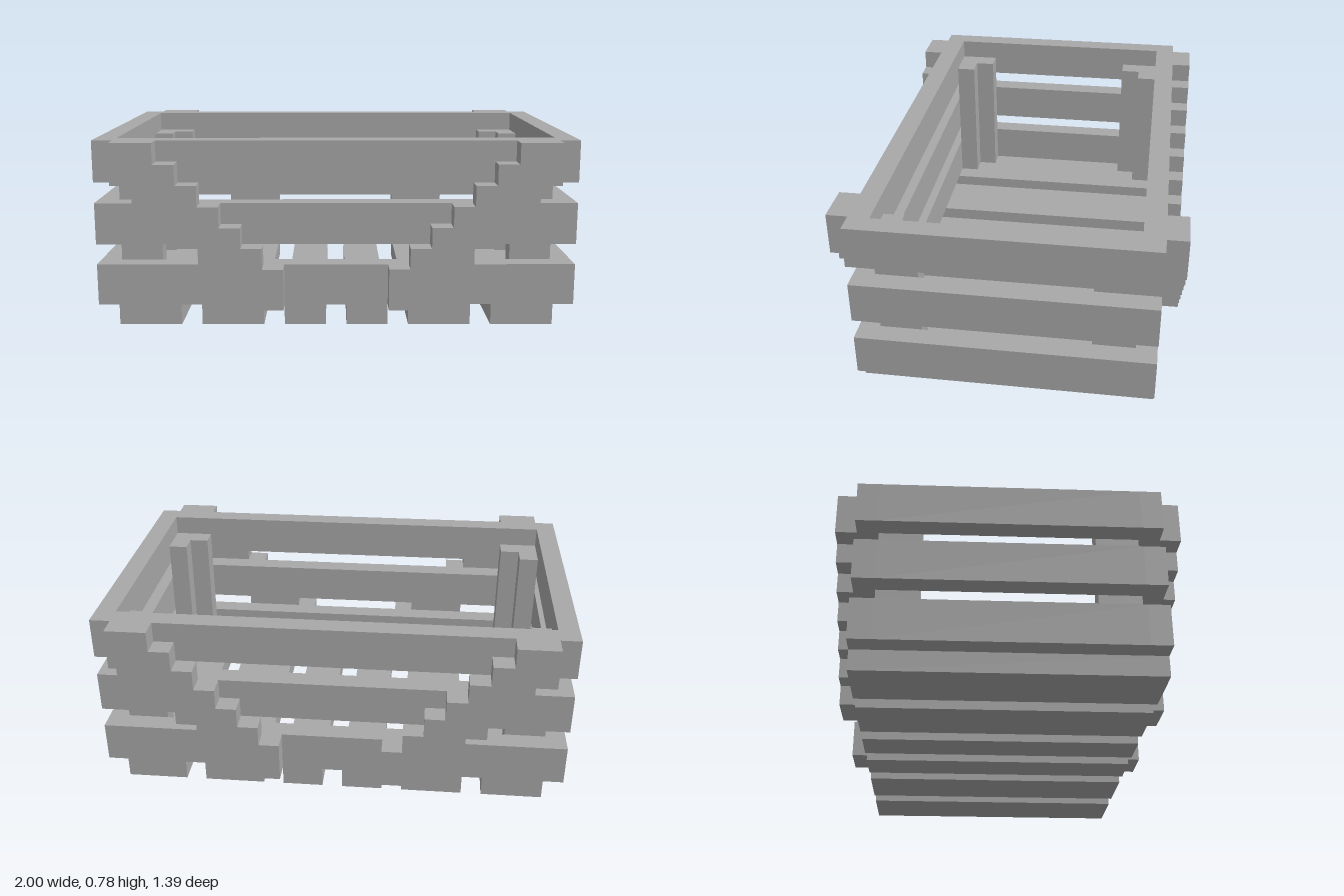
import * as THREE from 'three';

// The crate sits on a regular cell grid: 23 cells wide, 9 high, 16 deep.
const U = 2 / 23;

export function createModel() {
  const crate = new THREE.Group();
  crate.name = 'crate';
  const wood = new THREE.MeshStandardMaterial({ color: 0xa8a8a8 });
  wood.name = 'plain grey';

  function add(name, geometry) {
    geometry.scale(U, U, U);
    const mesh = new THREE.Mesh(geometry, wood);
    mesh.name = name;
    crate.add(mesh);
  }

  // Box between two corners, in cells
  function box(name, x0, x1, y0, y1, z0, z1) {
    const g = new THREE.BoxGeometry(x1 - x0, y1 - y0, z1 - z0);
    g.translate((x0 + x1) / 2, (y0 + y1) / 2, (z0 + z1) / 2);
    add(name, g);
  }

  function extrude(points, depth) {
    const shape = new THREE.Shape(points.map(([x, y]) => new THREE.Vector2(x, y)));
    return new THREE.ExtrudeGeometry(shape, { depth, bevelEnabled: false });
  }

  // Floor slats: outer and middle ones are wider than the central pair
  for (const s of [-1, 1]) {
    for (const [a, b] of [[0.5, 2.5], [3.5, 6.5], [7.5, 10.5]]) {
      box('floorSlat', Math.min(s * a, s * b), Math.max(s * a, s * b), 0, 1, -7, 7);
    }
  }

  // Three rings of wall planks
  for (const y of [1, 4, 7]) {
    box('frontPlank', -11.5, 11.5, y, y + 2, 6, 7);
    box('backPlank', -11.5, 11.5, y, y + 2, -7, -6);
    box('leftPlank', 10.5, 11.5, y, y + 2, -6, 6);
    box('rightPlank', -11.5, -10.5, y, y + 2, -6, 6);
  }

  // L-shaped posts inside the four corners
  const corner = [[10.5, 6], [8.5, 6], [8.5, 5], [9.5, 5], [9.5, 4], [10.5, 4]];
  for (const sx of [-1, 1]) {
    for (const sz of [-1, 1]) {
      const g = extrude(corner.map(([x, z]) => [sx * x, -sz * z]), 7);
      g.rotateX(-Math.PI / 2);
      g.translate(0, 1, 0);
      add('cornerPost', g);
    }
  }

  // Stepped diagonal braces on the front and back
  const steps = [[10.5, 9], [8.5, 9]];
  for (let i = 0; i < 6; i++) steps.push([8.5 - i, 8 - i], [7.5 - i, 8 - i]);
  steps.push([2.5, 1], [4.5, 1]);
  for (let i = 0; i < 6; i++) steps.push([4.5 + i, 2 + i], [5.5 + i, 2 + i]);
  for (const sx of [-1, 1]) {
    for (const z of [7, -8]) {
      const g = extrude(steps.map(([x, y]) => [sx * x, y]), 1);
      g.translate(0, 0, z);
      add('diagonalBrace', g);
    }
  }

  // Small spacer between the upper planks at one back corner
  box('spacer', 9.5, 10.5, 6, 7, -7, -6);

  return crate;
}
